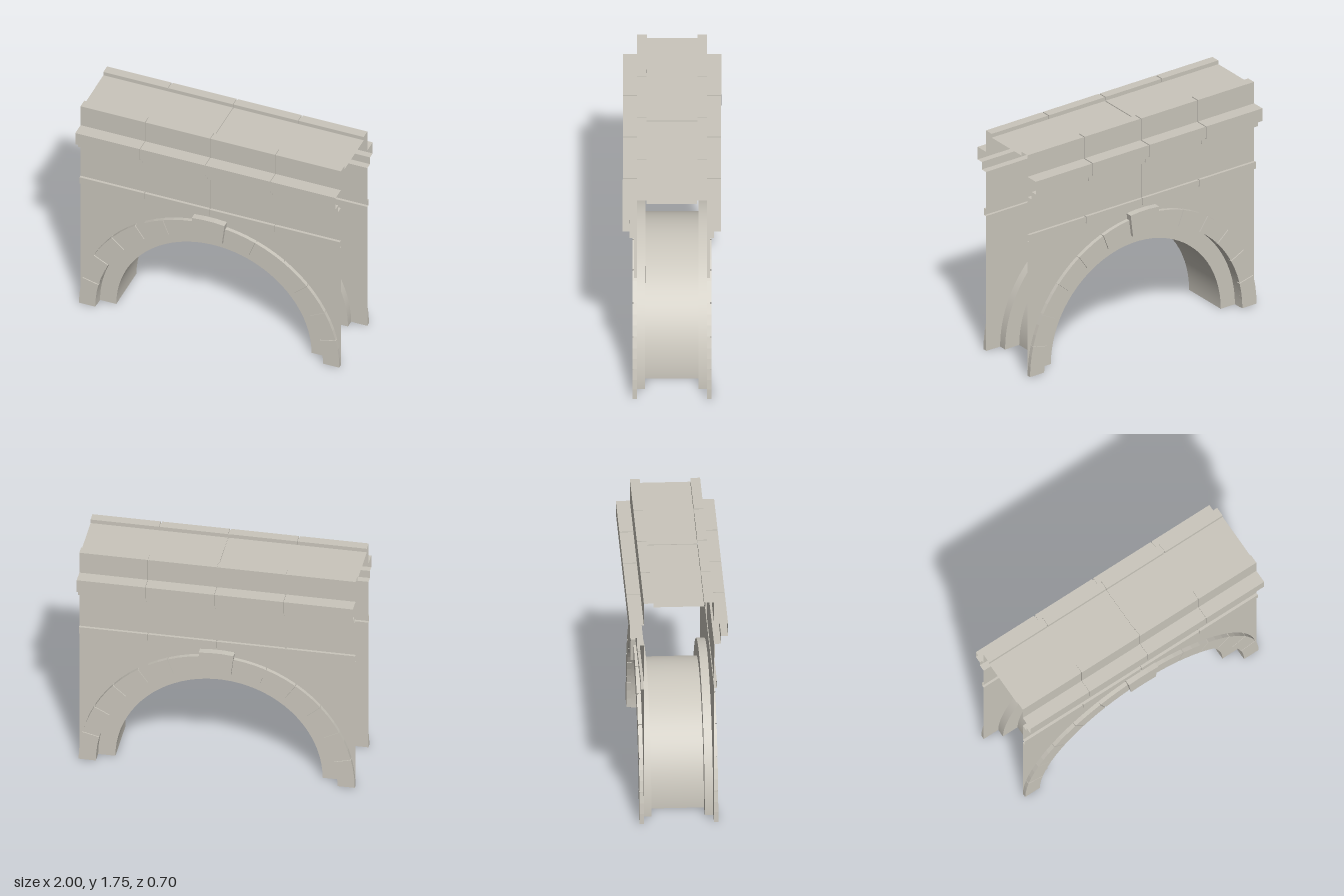
import * as THREE from 'three';

const stone = new THREE.MeshStandardMaterial({ color: 0xcac6bc, side: THREE.DoubleSide });
stone.name = 'pale stone';

const R_IN = 0.75, R_MID = 0.875, R_OUT = 1;
const JOINT = 0.01, DEPTH = 0.007;

function add(parent, name, geometry) {
  const mesh = new THREE.Mesh(geometry, stone);
  mesh.name = name;
  parent.add(mesh);
  return mesh;
}

// Moves a [z, y] profile inwards by the joint depth, mitred at its corners
function inset(profile) {
  const normals = profile.slice(1).map(([z, y], i) => {
    const dz = z - profile[i][0], dy = y - profile[i][1], l = Math.hypot(dz, dy);
    return [dy / l, -dz / l];
  });
  return profile.map(([z, y], i) => {
    const a = normals[i - 1] || [0, 0], b = normals[i] || [0, 0];
    return [z - DEPTH * (a[0] + b[0]), y - DEPTH * (a[1] + b[1])];
  });
}

// Sweeps a profile along x, with a narrow sunken joint at each cut
function course(profile, cuts) {
  const low = inset(profile), h = JOINT / 2;
  const stations = [[-1, profile]];
  for (const c of cuts) stations.push([c - h, profile], [c - h, low], [c + h, low], [c + h, profile]);
  stations.push([1, profile]);
  const pos = [];
  for (let s = 0; s < stations.length - 1; s++) {
    const [x0, p] = stations[s], [x1, q] = stations[s + 1];
    for (let i = 0; i < profile.length - 1; i++) {
      const a = [x0, p[i][1], p[i][0]], b = [x1, q[i][1], q[i][0]];
      const c = [x1, q[i + 1][1], q[i + 1][0]], d = [x0, p[i + 1][1], p[i + 1][0]];
      pos.push(...a, ...b, ...c, ...a, ...c, ...d);
    }
  }
  const g = new THREE.BufferGeometry();
  g.setAttribute('position', new THREE.Float32BufferAttribute(pos, 3));
  g.computeVertexNormals();
  return g;
}

// Flat piece of a ring between two radii and two angles
function ringShape(r0, r1, a0, a1, n) {
  const pts = [];
  const at = (r, a) => new THREE.Vector2(r * Math.cos(a), r * Math.sin(a));
  for (let i = 0; i <= n; i++) pts.push(at(r1, a0 + (a1 - a0) * i / n));
  for (let i = n; i >= 0; i--) pts.push(at(r0, a0 + (a1 - a0) * i / n));
  return new THREE.Shape(pts);
}

function ringBlock(r0, r1, a0, a1, n, z0, z1) {
  const g = new THREE.ExtrudeGeometry(ringShape(r0, r1, a0, a1, n), { depth: z1 - z0, bevelEnabled: false });
  return g.translate(0, 0, z0);
}

// Upper half of an open tube lying along z
function halfTube(r, length, z) {
  const g = new THREE.CylinderGeometry(r, r, length, 39, 1, true, Math.PI / 2, Math.PI);
  return g.rotateX(Math.PI / 2).translate(0, 0, z);
}

function createFace(name) {
  const face = new THREE.Group();
  face.name = name;
  const three = [-0.5, 0, 0.5];

  // Spandrel wall around the arch opening
  const wall = new THREE.Shape();
  wall.moveTo(R_MID, 0);
  wall.lineTo(1, 0);
  wall.lineTo(1, 1.07);
  wall.lineTo(-1, 1.07);
  wall.lineTo(-1, 0);
  wall.lineTo(-R_MID, 0);
  for (let i = 38; i > 0; i--) {
    const a = Math.PI * i / 39;
    wall.lineTo(R_MID * Math.cos(a), R_MID * Math.sin(a));
  }
  add(face, 'spandrelWall', new THREE.ShapeGeometry(wall).translate(0, 0, 0.25));

  // String course, plain wall, cornice with parapet
  add(face, 'stringCourse', course([[0.25, 1.07], [0.27, 1.07], [0.27, 1.125], [0.25, 1.125]], three));
  add(face, 'upperWall', course([[0.25, 1.125], [0.25, 1.42]], [0]));
  add(face, 'corniceAndParapet', course([
    [0.25, 1.42], [0.3, 1.42], [0.3, 1.48], [0.35, 1.48], [0.35, 1.58],
    [0.25, 1.58], [0.25, 1.75], [0.18, 1.75], [0.18, 1.72],
  ], three));

  // Thirteen arch stones over a sunken core that forms the joint floors
  add(face, 'archJoints', ringBlock(0.881, 0.993, 0.005, Math.PI - 0.005, 39, 0.25, 0.272));
  const step = Math.PI / 13, gap = 0.004;
  for (let i = 0; i < 13; i++) {
    const key = i === 6;
    const g = key ? 0 : gap;
    add(face, key ? 'keystone' : 'archStone', ringBlock(
      key ? 0.87 : R_MID, key ? 1.044 : R_OUT, i * step + g, (i + 1) * step - g, 3, 0.25, key ? 0.3 : 0.28));
  }

  // Recess behind the stones and the inner arch face
  add(face, 'archReveal', halfTube(R_MID, 0.06, 0.22));
  add(face, 'innerArchFace', new THREE.ShapeGeometry(ringShape(R_IN, R_MID, 0, Math.PI, 39)).translate(0, 0, 0.19));
  return face;
}

export function createModel() {
  const model = new THREE.Group();
  model.name = 'archBridgeSection';
  const back = createFace('backFace');
  back.rotation.y = Math.PI;
  model.add(createFace('frontFace'), back);

  // Vault and deck between the faces
  add(model, 'vault', halfTube(R_IN, 0.38, 0));
  add(model, 'deck', course([[0.18, 1.72], [-0.18, 1.72]], [0]));
  return model;
}
